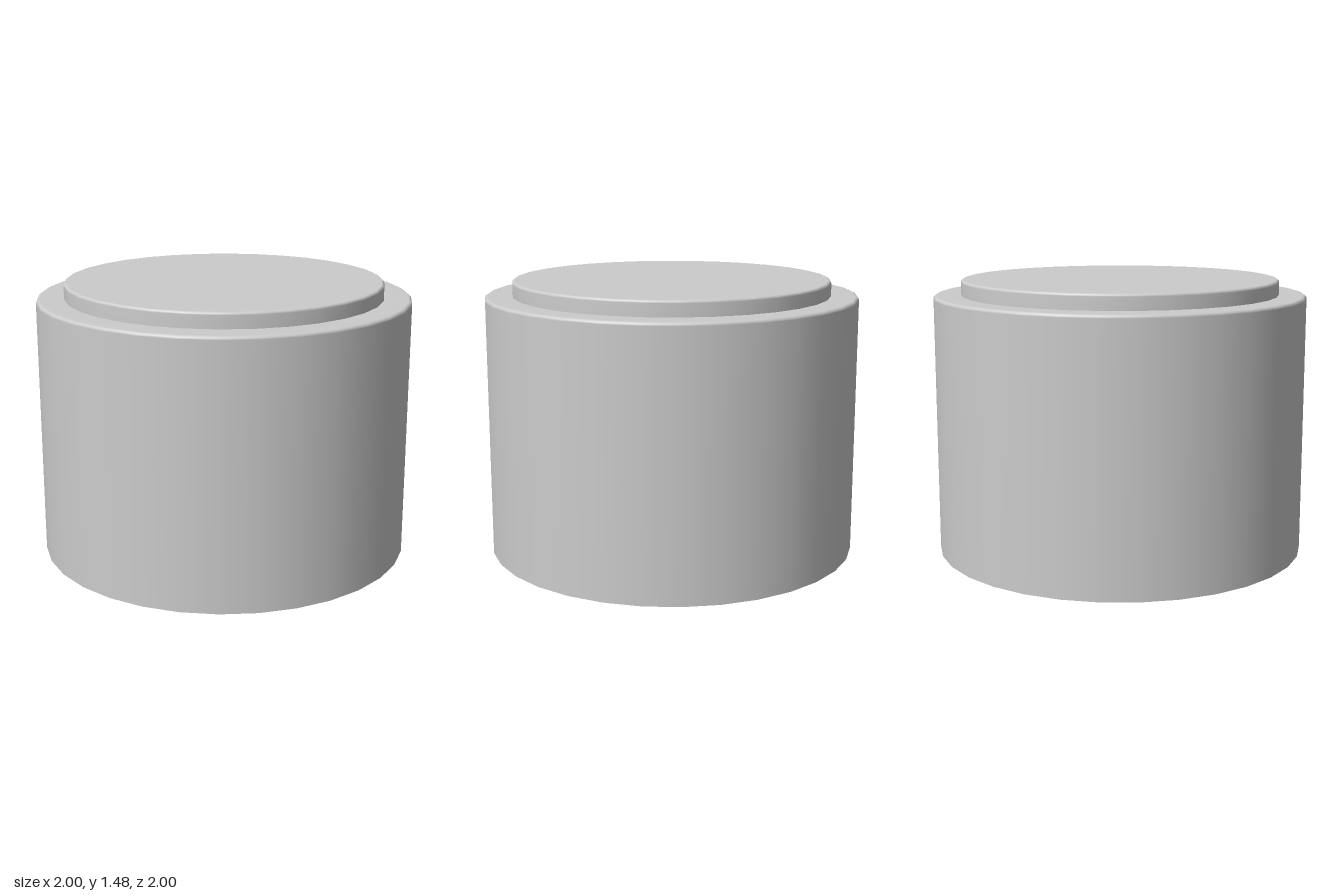
import * as THREE from 'three';

const SIDES = 32;

// Profile of an upright wall with a small rounded top edge, closed inwards to innerRadius
function drumProfile(radius, bottom, top, bevel, innerRadius) {
  const points = [new THREE.Vector2(radius, bottom)];
  const steps = 3;
  for (let i = 0; i <= steps; i++) {
    const a = (i / steps) * Math.PI / 2;
    points.push(new THREE.Vector2(
      radius - bevel + bevel * Math.cos(a),
      top - bevel + bevel * Math.sin(a)
    ));
  }
  points.push(new THREE.Vector2(innerRadius, top));
  return points;
}

export function createModel() {
  const group = new THREE.Group();
  const material = new THREE.MeshStandardMaterial({ color: 0xcccccc });

  const add = (name, geometry) => {
    geometry.normalizeNormals();
    const mesh = new THREE.Mesh(geometry, material);
    mesh.name = name;
    group.add(mesh);
    return mesh;
  };

  // Drum wall with its rounded rim and flat shoulder
  add('body', new THREE.LatheGeometry(drumProfile(1, 0, 1.395, 0.018, 0.85), SIDES));

  // Raised disc on top
  add('lid', new THREE.LatheGeometry(drumProfile(0.853, 1.39, 1.477, 0.015, 0), SIDES));

  // Flat underside
  add('base', new THREE.CircleGeometry(1, SIDES).rotateX(Math.PI / 2));

  return group;
}
